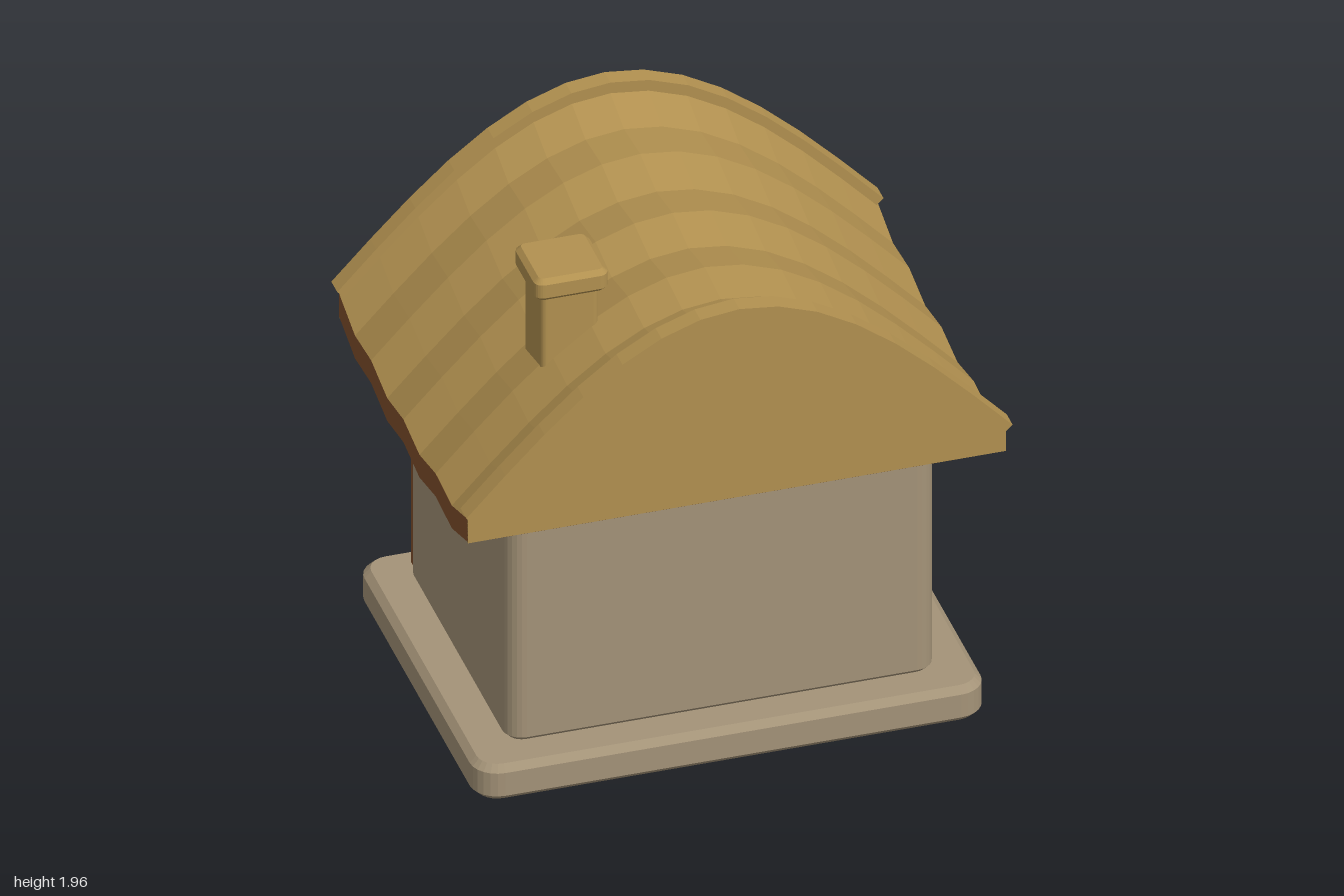
import * as THREE from 'three';

const paint = (name, color, side = THREE.FrontSide) => {
  const m = new THREE.MeshStandardMaterial({ color, side });
  m.name = name;
  return m;
};

export function createModel() {
  const house = new THREE.Group();
  house.name = 'cottage';
  const thatch = paint('thatch', 0xb29150);
  const stone = paint('stone', 0xa49378);
  const timber = paint('timber', 0x82502c, THREE.DoubleSide);
  const glass = paint('glass', 0x7fc6c6);
  const leaf = paint('leaf green', 0x5d8f3a);
  const blossom = paint('blossom', 0xb39c84);

  const add = (name, geometry, material, x = 0, y = 0, z = 0, parent = house) => {
    const mesh = new THREE.Mesh(geometry, material);
    mesh.name = name;
    mesh.position.set(x, y, z);
    parent.add(mesh);
    return mesh;
  };

  // Upright slab with rounded corners and chamfered rims, standing on y = 0
  const slab = (w, d, h, r, b) => {
    const s = new THREE.Shape();
    const x = w / 2, y = d / 2;
    s.moveTo(-x + r, -y);
    s.lineTo(x - r, -y);
    s.absarc(x - r, -y + r, r, -Math.PI / 2, 0);
    s.lineTo(x, y - r);
    s.absarc(x - r, y - r, r, 0, Math.PI / 2);
    s.lineTo(-x + r, y);
    s.absarc(-x + r, y - r, r, Math.PI / 2, Math.PI);
    s.lineTo(-x, -y + r);
    s.absarc(-x + r, -y + r, r, Math.PI, Math.PI * 1.5);
    return new THREE.ExtrudeGeometry(s, {
      depth: h - 2 * b, curveSegments: 3, bevelEnabled: true,
      bevelSize: b, bevelThickness: b, bevelOffset: -b, bevelSegments: 1,
    }).translate(0, 0, b).rotateX(-Math.PI / 2);
  };

  // Round-headed plate between two heights, extruded toward +z
  const arch = (half, bottom, top, depth) => {
    const s = new THREE.Shape();
    s.moveTo(-half, bottom);
    s.lineTo(half, bottom);
    s.lineTo(half, top - half);
    s.absarc(0, top - half, half, 0, Math.PI);
    s.lineTo(-half, bottom);
    return new THREE.ExtrudeGeometry(s, { depth, bevelEnabled: false, curveSegments: 14 });
  };

  // Plinth, walls and the timber plate under the eaves
  add('plinth', slab(1.87, 1.43, 0.145, 0.1, 0.025), stone, 0, 0, 0.015);
  add('walls', slab(1.57, 1.17, 0.97, 0.07, 0.02), stone, 0, 0.145, 0.015);
  add('eavesPlate', slab(1.9, 1.41, 0.05, 0.08, 0.015), timber, 0, 1.09, 0.015);

  // Thatched roof: a cosine vault whose height ripples along z
  const ripple = [0.06, 0, 0.015, -0.025, 0.005, -0.025, 0.015, 0, 0.06];
  const half = 0.985, zFront = 0.77, zBack = -0.74, cols = 14;
  const zAt = (i) => zFront + (zBack - zFront) * i / (ripple.length - 1);
  const vault = (x) => 1.175 + 0.67 * Math.cos(Math.PI * x / (2 * half));
  const sheet = (rows) => {
    const pos = [], index = [], n = rows[0].length;
    rows.forEach((row) => row.forEach((p) => pos.push(...p)));
    for (let i = 0; i < rows.length - 1; i++) {
      for (let j = 0; j < n - 1; j++) {
        const a = i * n + j, b = a + n;
        index.push(a, a + 1, b, a + 1, b + 1, b);
      }
    }
    const g = new THREE.BufferGeometry();
    g.setAttribute('position', new THREE.Float32BufferAttribute(pos, 3));
    g.setIndex(index);
    const flat = g.toNonIndexed();
    flat.computeVertexNormals();
    return flat;
  };
  const across = Array.from({ length: cols + 1 }, (_, j) => -half + 2 * half * j / cols);
  add('thatchedRoof', sheet(ripple.map((dy, i) => across.map((x) => [x, vault(x) + dy, zAt(i)]))), thatch);

  // Wavy eaves boards
  for (const s of [-1, 1]) {
    add('eavesBoard', sheet(ripple.map((dy, i) => [
      [s * half, 1.175 + dy, zAt(i)], [s * half, 1.08 + dy, zAt(i)],
    ])), timber);
  }
  add('soffit', new THREE.BoxGeometry(2 * half - 0.01, 0.008, 1.49), timber, 0, 1.139, 0.015);

  // Gable ends
  const gable = new THREE.Shape();
  gable.moveTo(-half, 1.135);
  gable.lineTo(half, 1.135);
  [...across].reverse().forEach((x) => gable.lineTo(x, vault(x) + 0.06));
  const gableGeo = new THREE.ExtrudeGeometry(gable, { depth: 0.012, bevelEnabled: false });
  add('frontGable', gableGeo, thatch, 0, 0, zFront - 0.012);
  add('backGable', gableGeo, thatch, 0, 0, zBack);

  // Verge trims following the vault
  const outer = [], inner = [];
  for (let j = 0; j <= cols; j++) {
    const x = -1 + 2 * j / cols;
    const y = 1.26 + 0.68 * Math.cos(Math.PI * x / 2);
    const slope = -0.34 * Math.PI * Math.sin(Math.PI * x / 2);
    const k = 0.048 / Math.hypot(1, slope);
    outer.push(new THREE.Vector2(x, y));
    inner.push(new THREE.Vector2(x + slope * k, y - k));
  }
  const vergeGeo = new THREE.ExtrudeGeometry(new THREE.Shape([...inner, ...outer.reverse()]),
    { depth: 0.07, bevelEnabled: false });
  add('frontVerge', vergeGeo, thatch, 0, 0, 0.73);
  add('backVerge', vergeGeo, thatch, 0, 0, -0.78);

  // Chimney
  add('chimneyShaft', slab(0.21, 0.21, 0.5, 0.02, 0.005), thatch, -0.5, 1.4, 0.315);
  add('chimneyCap', slab(0.27, 0.27, 0.09, 0.035, 0.018), thatch, -0.5, 1.865, 0.315);

  // Corner posts on the entrance side
  for (const s of [-1, 1]) {
    add('cornerPost', new THREE.BoxGeometry(0.08, 0.96, 0.07), timber, s * 0.72, 0.625, -0.58);
  }

  // Arched door
  add('doorFrame', arch(0.22, 0.145, 0.78, 0.12), timber, 0, 0, -0.68);
  add('door', arch(0.183, 0.146, 0.743, 0.05), thatch, 0, 0, -0.686);
  add('doorKnob', new THREE.SphereGeometry(0.027, 14, 10).scale(0.9, 1, 0.67), thatch, -0.105, 0.42, -0.703);

  // Arched windows with flower boxes
  for (const s of [-1, 1]) {
    const w = new THREE.Group();
    w.name = 'window';
    w.position.x = s * 0.51;
    house.add(w);
    add('windowFrame', arch(0.19, 0.56, 0.915, 0.08), timber, 0, 0, -0.645, w);
    add('windowSash', arch(0.163, 0.57, 0.888, 0.03), thatch, 0, 0, -0.651, w);
    add('windowPane', arch(0.142, 0.59, 0.867, 0.06), glass, 0, 0, -0.69, w);
    add('uprightBar', new THREE.BoxGeometry(0.026, 0.27, 0.03), stone, 0, 0.732, -0.7, w);
    add('crossBar', new THREE.BoxGeometry(0.27, 0.026, 0.03), stone, 0, 0.735, -0.7, w);
    add('flowerBox', slab(0.37, 0.155, 0.06, 0.015, 0.006), thatch, 0, 0.527, -0.678, w);
    for (const k of [-1, 0, 1]) {
      add('bush', new THREE.SphereGeometry(0.055, 14, 10), leaf, k * 0.09, 0.627, -0.737, w);
    }
    for (const k of [-1, 1]) {
      add('flower', new THREE.SphereGeometry(0.034, 12, 8), blossom, k * 0.06, 0.672, -0.764, w);
    }
  }
  return house;
}
